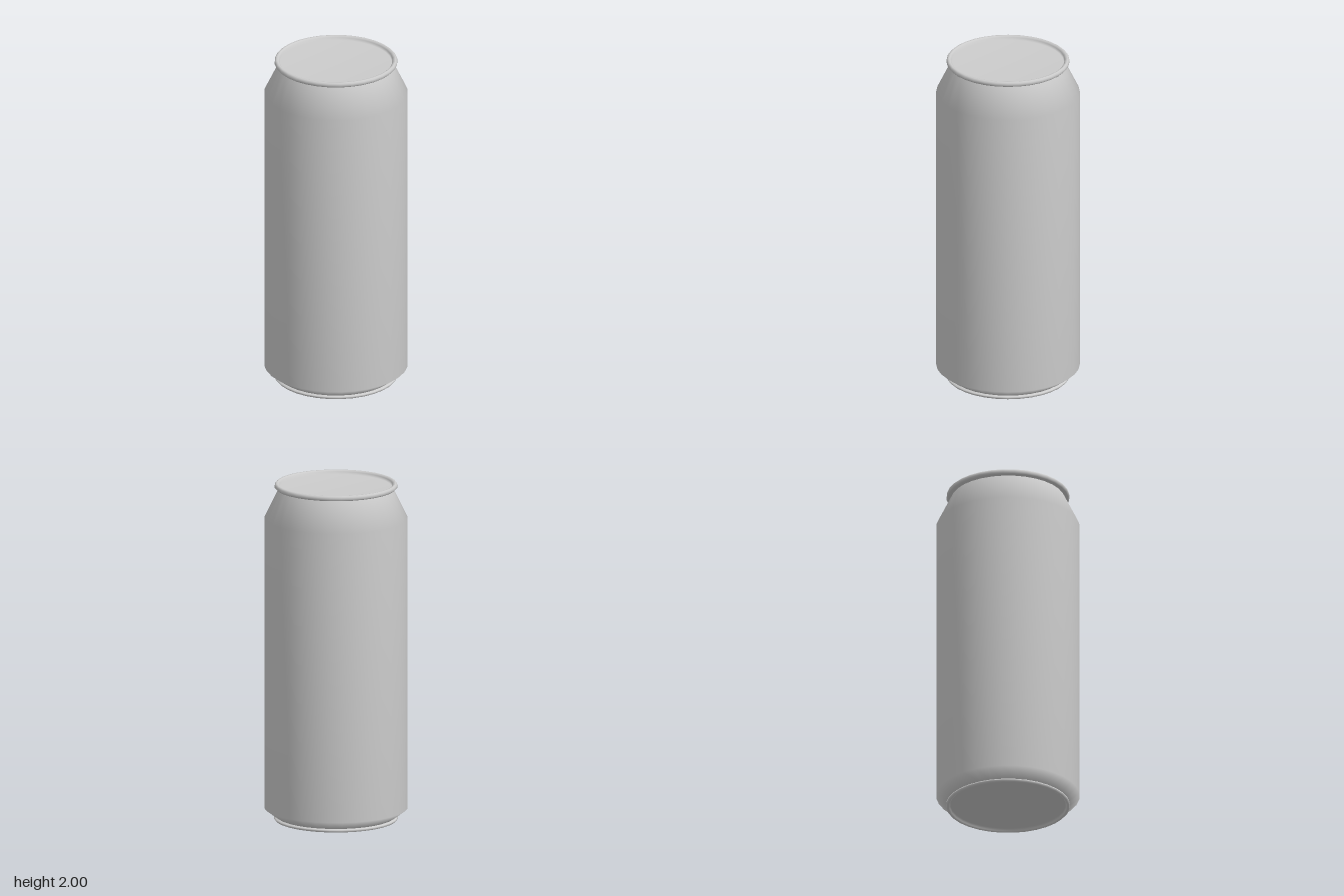
import * as THREE from 'three';

const SIDES = 32;

// Turned part from [radius, height] pairs, listed so the faces point outwards
function turned(name, profile) {
  const points = profile.map(([r, y]) => new THREE.Vector2(r, y));
  const mesh = new THREE.Mesh(
    new THREE.LatheGeometry(points, SIDES),
    new THREE.MeshStandardMaterial({ color: 0xcccccc })
  );
  mesh.name = name;
  return mesh;
}

export function createModel() {
  const can = new THREE.Group();
  can.name = 'can';

  // Recessed bottom disc and the foot ring around it
  can.add(turned('base', [
    [0, 0.02], [0.335, 0.02], [0.338, 0.006], [0.346, 0],
    [0.354, 0.001], [0.36, 0.008], [0.359, 0.016], [0.345, 0.02],
  ]));

  // Straight wall with a chamfered foot and a tapered shoulder
  can.add(turned('body', [
    [0.345, 0.02], [0.417, 0.073], [0.417, 1.79], [0.33, 1.968],
  ]));

  // Rolled rim and the lid disc sunk just inside it
  can.add(turned('lid', [
    [0.33, 1.968], [0.35, 1.971], [0.357, 1.979], [0.356, 1.992],
    [0.348, 2], [0.338, 1.999], [0.329, 1.991], [0.325, 1.976], [0, 1.976],
  ]));

  return can;
}
